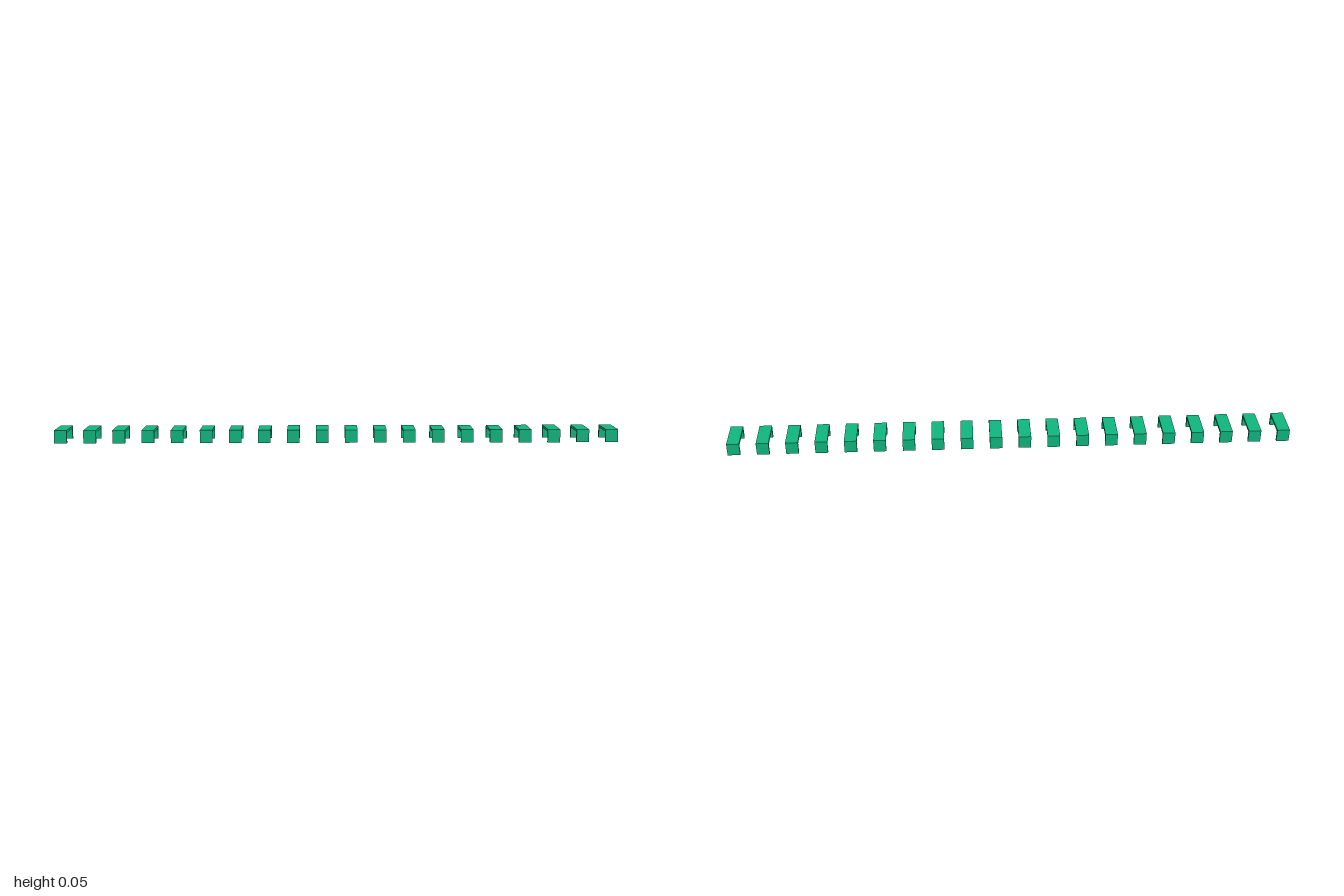
import * as THREE from 'three';

const COUNT = 20;
const HALF_ROW = 1.1025; // centre of the row to the centre of the last bracket
const WIDTH = 0.05;
const DEPTH = 0.13;
const HEIGHT = 0.052;
const THICK = 0.01;

// Upside-down U: a thin top plate with a thin leg at each end
function bracketGeometry() {
  const d = DEPTH / 2, i = d - THICK, h = HEIGHT - THICK;
  const profile = new THREE.Shape([
    [-d, 0], [-i, 0], [-i, h], [i, h], [i, 0], [d, 0], [d, HEIGHT], [-d, HEIGHT],
  ].map(([x, y]) => new THREE.Vector2(x, y)));
  const geometry = new THREE.ExtrudeGeometry(profile, { depth: WIDTH, bevelEnabled: false });
  geometry.translate(0, 0, -WIDTH / 2);
  geometry.rotateY(Math.PI / 2); // legs now stand front and back
  return geometry;
}

export function createModel() {
  const model = new THREE.Group();
  model.name = 'bracketRow';
  const material = new THREE.MeshStandardMaterial({ color: 0x10b981 });
  const geometry = bracketGeometry();

  // Evenly spaced brackets along a diagonal line
  const row = new THREE.Group();
  row.name = 'row';
  row.rotation.y = -THREE.MathUtils.degToRad(31);
  for (let k = 0; k < COUNT; k++) {
    const bracket = new THREE.Mesh(geometry, material);
    bracket.name = `bracket${k + 1}`;
    bracket.position.x = -HALF_ROW + (2 * HALF_ROW * k) / (COUNT - 1);
    row.add(bracket);
  }
  model.add(row);
  return model;
}
